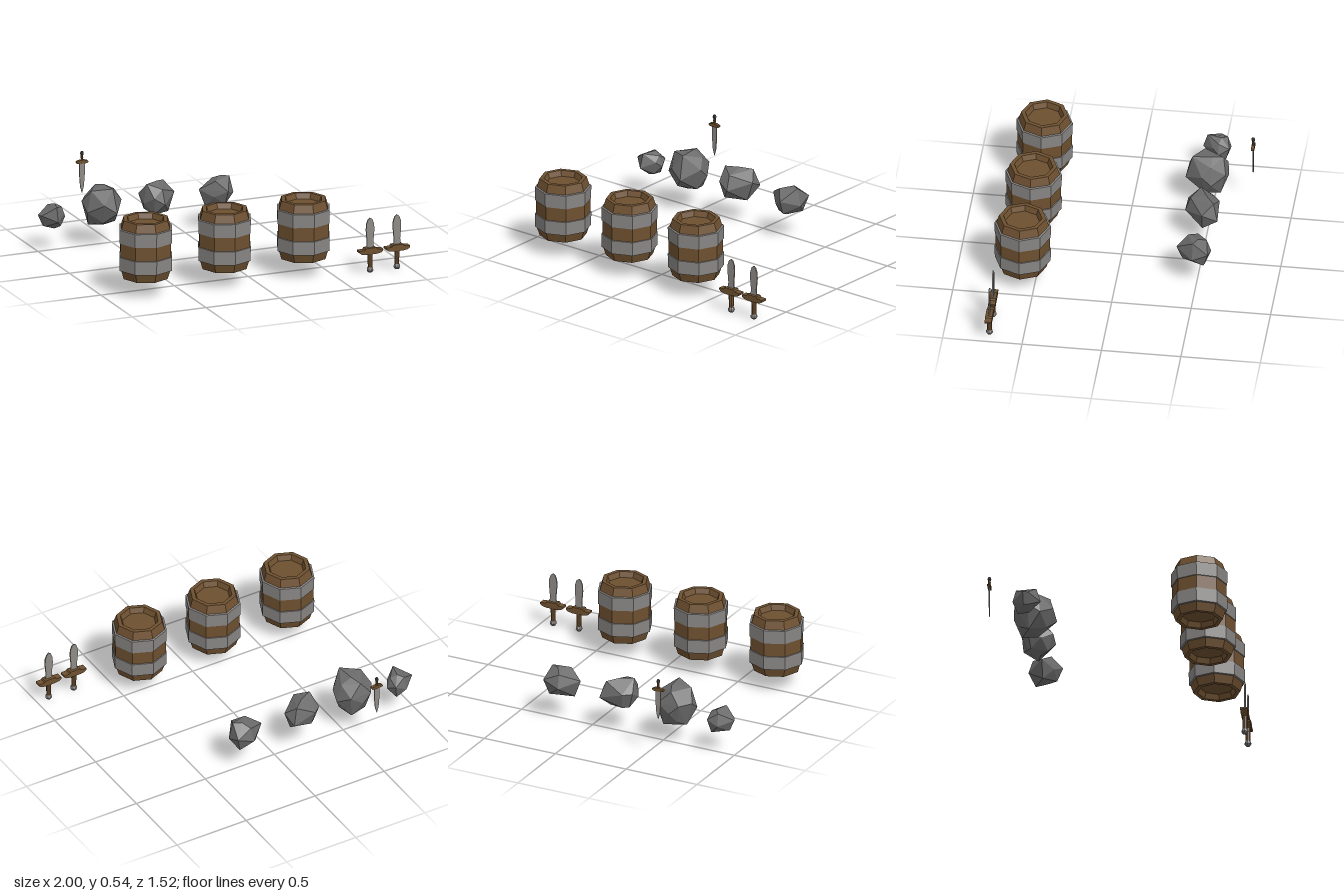
import * as THREE from 'three';
import { ConvexGeometry } from 'three/addons/geometries/ConvexGeometry.js';

const flat = (name, color) => new THREE.MeshStandardMaterial({ name, color, flatShading: true });
const wood = flat('wood', 0x6e5030);
const iron = flat('iron', 0x888684);
const steel = flat('steel', 0x8e8a86);
const stone = flat('stone', 0x6c6c6d);
const darkIron = flat('darkIron', 0x4c4743);

function add(parent, name, geometry, material, x = 0, y = 0, z = 0) {
  const mesh = new THREE.Mesh(geometry, material);
  mesh.name = name;
  mesh.position.set(x, y, z);
  parent.add(mesh);
  return mesh;
}

function group(parent, name, x, y, z) {
  const g = new THREE.Group();
  g.name = name;
  g.position.set(x, y, z);
  parent.add(g);
  return g;
}

// Eight-sided turned shape from [radius, height] pairs
const turned = (pairs) => new THREE.LatheGeometry(pairs.map(([r, y]) => new THREE.Vector2(r, y)), 8);

// Plate mirrored about x = 0 from the right-hand outline [x, y], centred in z
function plate(half, depth) {
  const left = half.filter(([x]) => x > 0).map(([x, y]) => [-x, y]).reverse();
  const shape = new THREE.Shape([...half, ...left].map(([x, y]) => new THREE.Vector2(x, y)));
  return new THREE.ExtrudeGeometry(shape, { depth, bevelEnabled: false }).translate(0, 0, -depth / 2);
}

// Barrel: staves with recessed lids at both ends, and two hoops
function barrel(parent, x) {
  const g = group(parent, 'barrel', x, 0.302, 0.58);
  const lower = [[0, -0.155], [0.108, -0.155], [0.122, -0.19], [0.148, -0.19], [0.167, -0.13], [0.171, -0.043]];
  const upper = lower.map(([r, y]) => [r, -y]).reverse();
  add(g, 'staves', turned([...lower, ...upper]), wood);
  for (const s of [-1, 1]) {
    add(g, 'hoop', turned([[0.164, -0.047], [0.176, -0.044], [0.177, 0.044], [0.164, 0.047]]), iron, 0, s * 0.089, 0);
  }
}

// Short sword with its blade pointing up
function sword(parent, x) {
  const g = group(parent, 'sword', x, 0, 0.715);
  add(g, 'blade', plate([[0.024, 0.15], [0.021, 0.2], [0.028, 0.275], [0.026, 0.315], [0.015, 0.345], [0, 0.356]], 0.008), steel);
  add(g, 'guard', plate([[0.035, 0.122], [0.065, 0.127], [0.08, 0.138], [0.08, 0.15], [0.042, 0.152], [0.036, 0.163]], 0.044), wood);
  add(g, 'grip', new THREE.CylinderGeometry(0.017, 0.015, 0.1, 8), wood, 0, 0.078, 0);
  add(g, 'pommel', turned([[0, 0], [0.014, 0.002], [0.022, 0.014], [0.02, 0.026], [0.014, 0.036], [0, 0.036]]), iron);
}

// Slim dagger with its blade pointing down
function dagger(parent) {
  const g = group(parent, 'dagger', -0.595, 0, -0.75);
  add(g, 'blade', plate([[0, 0.262], [0.012, 0.305], [0.018, 0.38], [0.018, 0.46]], 0.006), steel);
  add(g, 'guard', plate([[0.018, 0.455], [0.036, 0.458], [0.04, 0.466], [0.036, 0.472], [0.014, 0.478]], 0.02), wood);
  add(g, 'grip', turned([[0, 0.47], [0.011, 0.472], [0.007, 0.482], [0.009, 0.495], [0.007, 0.512], [0, 0.512]]), wood);
  add(g, 'pommel', turned([[0, 0.506], [0.008, 0.508], [0.012, 0.52], [0.009, 0.532], [0, 0.535]]), darkIron);
}

// Rock: hull of an [x, z] outline at uneven heights plus smaller rings above and below
function rock(parent, bottom, top, outline) {
  let cx = 0, cz = 0;
  for (const [x, z] of outline) { cx += x / outline.length; cz += z / outline.length; }
  const points = [];
  const h = top - bottom;
  const put = (x, z, scale, t) => points.push(new THREE.Vector3((x - cx) * scale, bottom + h * t, (z - cz) * scale));
  outline.forEach(([x, z], i) => {
    put(x, z, 1, i % 2 ? 0.4 : 0.62);
    if (i % 2) put(x, z, 0.72, 0.86 + 0.07 * (i % 3));
    else put(x, z, 0.68, 0.13 - 0.06 * (i % 3));
  });
  put(cx + 0.02, cz - 0.02, 1, 1);
  put(cx, cz + 0.02, 1, 0);
  add(parent, 'rock', new ConvexGeometry(points), stone, cx, 0, cz);
}

export function createModel() {
  const model = new THREE.Group();
  model.name = 'barrelsRocksAndBlades';

  for (const x of [-0.73, -0.195, 0.34]) barrel(model, x);
  for (const x of [0.735, 0.917]) sword(model, x);
  dagger(model);

  rock(model, 0.145, 0.295, [[-1, -0.5], [-0.917, -0.572], [-0.842, -0.567], [-0.815, -0.503],
    [-0.837, -0.465], [-0.906, -0.396], [-0.987, -0.47]]);
  rock(model, 0.134, 0.388, [[-0.65, -0.588], [-0.59, -0.598], [-0.505, -0.588], [-0.452, -0.503], [-0.457, -0.444],
    [-0.532, -0.332], [-0.612, -0.348], [-0.698, -0.422], [-0.703, -0.503]]);
  rock(model, 0.158, 0.362, [[-0.25, -0.583], [-0.094, -0.588], [-0.078, -0.492], [-0.19, -0.374],
    [-0.26, -0.385], [-0.302, -0.455], [-0.302, -0.54]]);
  rock(model, 0.16, 0.345, [[0.238, -0.374], [0.163, -0.422], [0.088, -0.492], [0.2, -0.588],
    [0.307, -0.578], [0.318, -0.481]]);
  return model;
}
